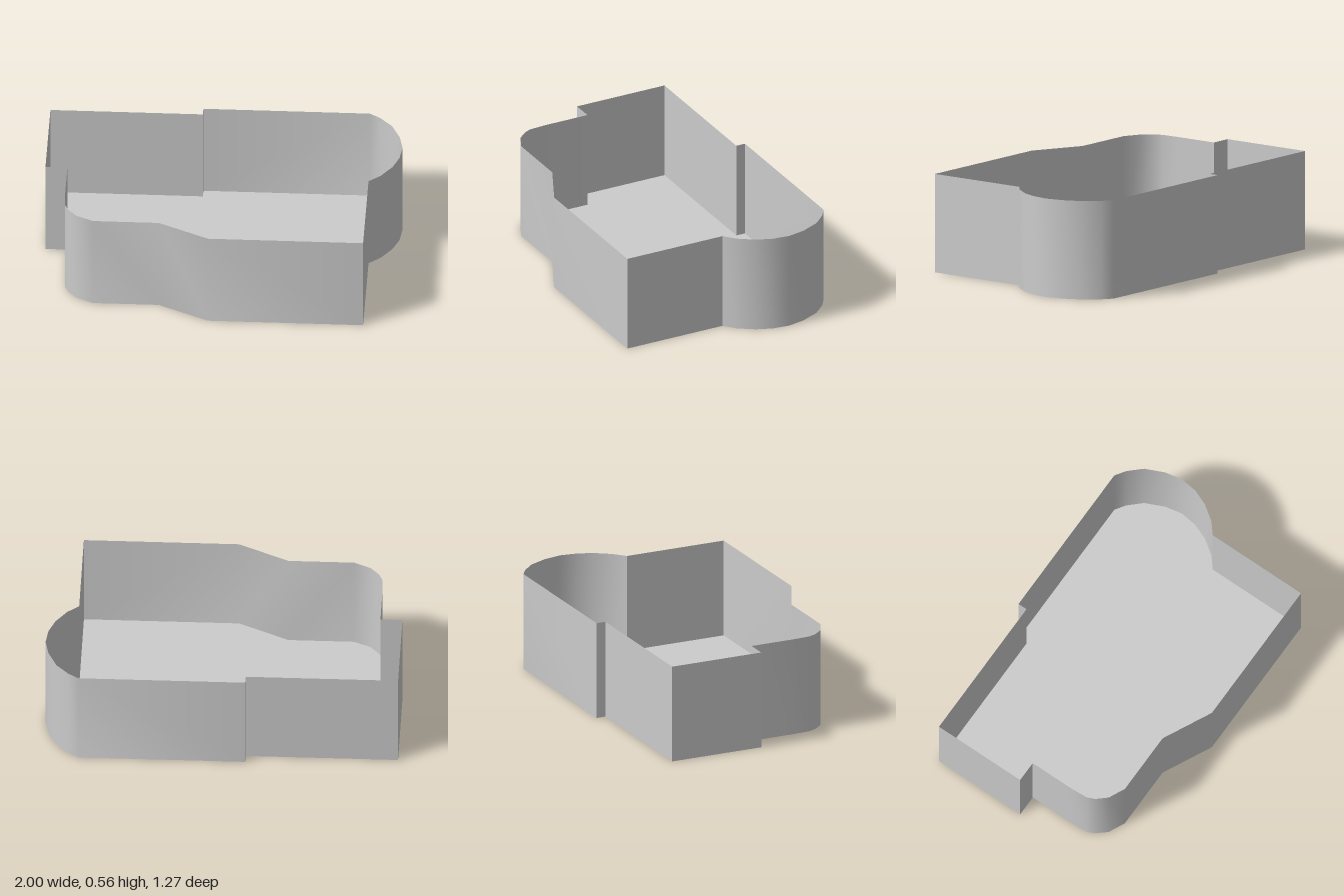
import * as THREE from 'three';
import { toCreasedNormals } from 'three/addons/utils/BufferGeometryUtils.js';

const HEIGHT = 0.565;

// Plan outline as [x, z], clockwise seen from above
const OUTLINE = [
  [-1, -0.58], [-0.14, -0.58], [-0.14, -0.635], [0.8, -0.635],
  // rounded bay on the left side
  [0.86, -0.595], [0.93, -0.52], [0.98, -0.41], [1, -0.31],
  [0.988, -0.21], [0.953, -0.12], [0.89, -0.03], [0.825, 0.025],
  // front corner and slanted step
  [0.825, 0.632], [-0.05, 0.632], [-0.335, 0.492], [-0.705, 0.492],
  // rounded front corner and side notch
  [-0.8, 0.447], [-0.85, 0.39], [-0.87, 0.345], [-0.876, 0.24],
  [-0.876, -0.022], [-1, -0.022],
];

// Thin upright wall following the outline
function wallGeometry() {
  const positions = [];
  OUTLINE.forEach(([x, z], i) => {
    const [nx, nz] = OUTLINE[(i + 1) % OUTLINE.length];
    positions.push(x, 0, z, nx, HEIGHT, nz, nx, 0, nz);
    positions.push(x, 0, z, x, HEIGHT, z, nx, HEIGHT, nz);
  });
  const geometry = new THREE.BufferGeometry();
  geometry.setAttribute('position', new THREE.Float32BufferAttribute(positions, 3));
  return toCreasedNormals(geometry, 0.75);
}

// Flat floor filling the outline
function floorGeometry() {
  const shape = new THREE.Shape(OUTLINE.map(([x, z]) => new THREE.Vector2(x, -z)));
  return new THREE.ShapeGeometry(shape).rotateX(-Math.PI / 2);
}

export function createModel() {
  const group = new THREE.Group();
  group.name = 'openTray';
  const material = new THREE.MeshStandardMaterial({ color: 0xcccccc, side: THREE.DoubleSide });

  const walls = new THREE.Mesh(wallGeometry(), material);
  walls.name = 'walls';
  const floor = new THREE.Mesh(floorGeometry(), material);
  floor.name = 'floor';

  group.add(walls, floor);
  return group;
}
